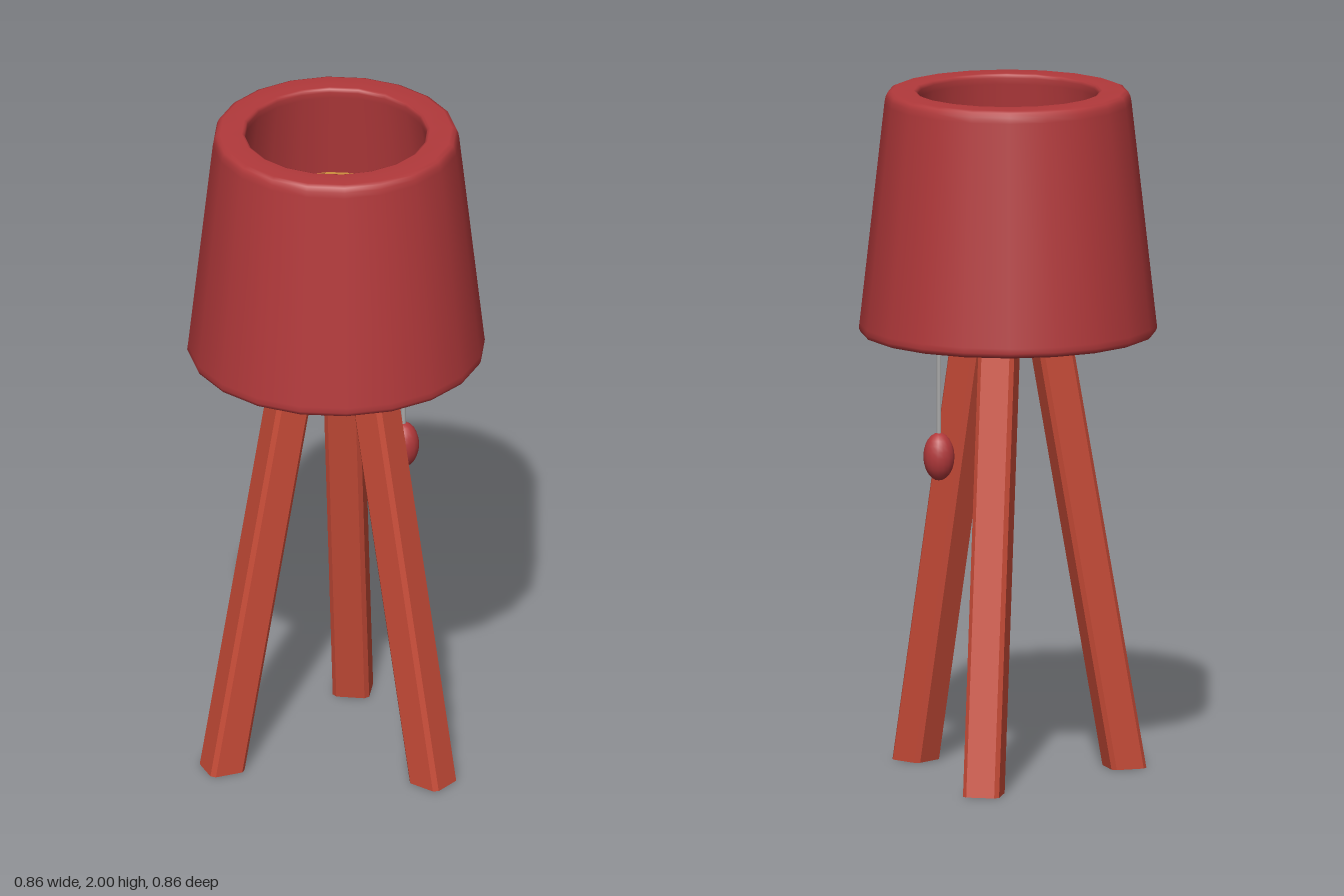
import * as THREE from 'three';

const mat = (name, color) => new THREE.MeshStandardMaterial({ name, color });

export function createModel() {
  const shadeRed = mat('shade red', 0xb2393b);
  const legRed = mat('leg orange red', 0xc94c38);
  const amber = mat('amber', 0xcc8f3e);
  const grey = mat('cord grey', 0xaaaaaa);

  const lamp = new THREE.Group();
  lamp.name = 'tripodLamp';
  const add = (name, geometry, material, x = 0, y = 0, z = 0) => {
    const mesh = new THREE.Mesh(geometry, material);
    mesh.name = name;
    mesh.position.set(x, y, z);
    lamp.add(mesh);
    return mesh;
  };

  // Thick tapered shade, open at both ends, with softened rims
  const profile = [
    [0.352, 1.305], [0.358, 1.293], [0.368, 1.29], [0.415, 1.29], [0.425, 1.294], [0.43, 1.305],
    [0.428, 1.32], [0.356, 1.965], [0.353, 1.982], [0.347, 1.995], [0.335, 2],
    [0.272, 2], [0.265, 1.997], [0.262, 1.988], [0.264, 1.97], [0.35, 1.32], [0.352, 1.305],
  ].map(([r, y]) => new THREE.Vector2(r, y));
  add('shade', new THREE.LatheGeometry(profile, 20), shadeRed);

  // Diffuser plate inside the shade
  add('diffuser', new THREE.CylinderGeometry(0.302, 0.302, 0.02, 20), amber, 0, 1.7, 0);

  // Splayed legs: chamfered square section, sheared outwards towards the floor
  const h = 0.053, c = 0.041, legHeight = 1.69, slope = 0.178, footRadius = 0.354;
  const section = new THREE.Shape([
    [h, -c], [h, c], [c, h], [-c, h], [-h, c], [-h, -c], [-c, -h], [c, -h],
  ].map(([x, y]) => new THREE.Vector2(x, y)));
  const legGeometry = new THREE.ExtrudeGeometry(section, { depth: legHeight, bevelEnabled: false });
  legGeometry.rotateX(-Math.PI / 2);
  const shear = new THREE.Matrix4().set(
    1, -slope, 0, footRadius,
    0, 1, 0, 0,
    0, 0, 1, 0,
    0, 0, 0, 1,
  );
  legGeometry.applyMatrix4(shear);
  for (let i = 0; i < 3; i++) {
    add('leg', legGeometry, legRed).rotation.y = Math.PI + (i * Math.PI * 2) / 3;
  }

  // Pull cord with an oval bob
  add('pullCord', new THREE.CylinderGeometry(0.007, 0.007, 0.7, 8), grey, 0.21, 1.345, 0);
  const bob = new THREE.SphereGeometry(1, 16, 12);
  bob.scale(0.045, 0.07, 0.045);
  add('pullBob', bob, shadeRed, 0.21, 0.94, 0);

  return lamp;
}
